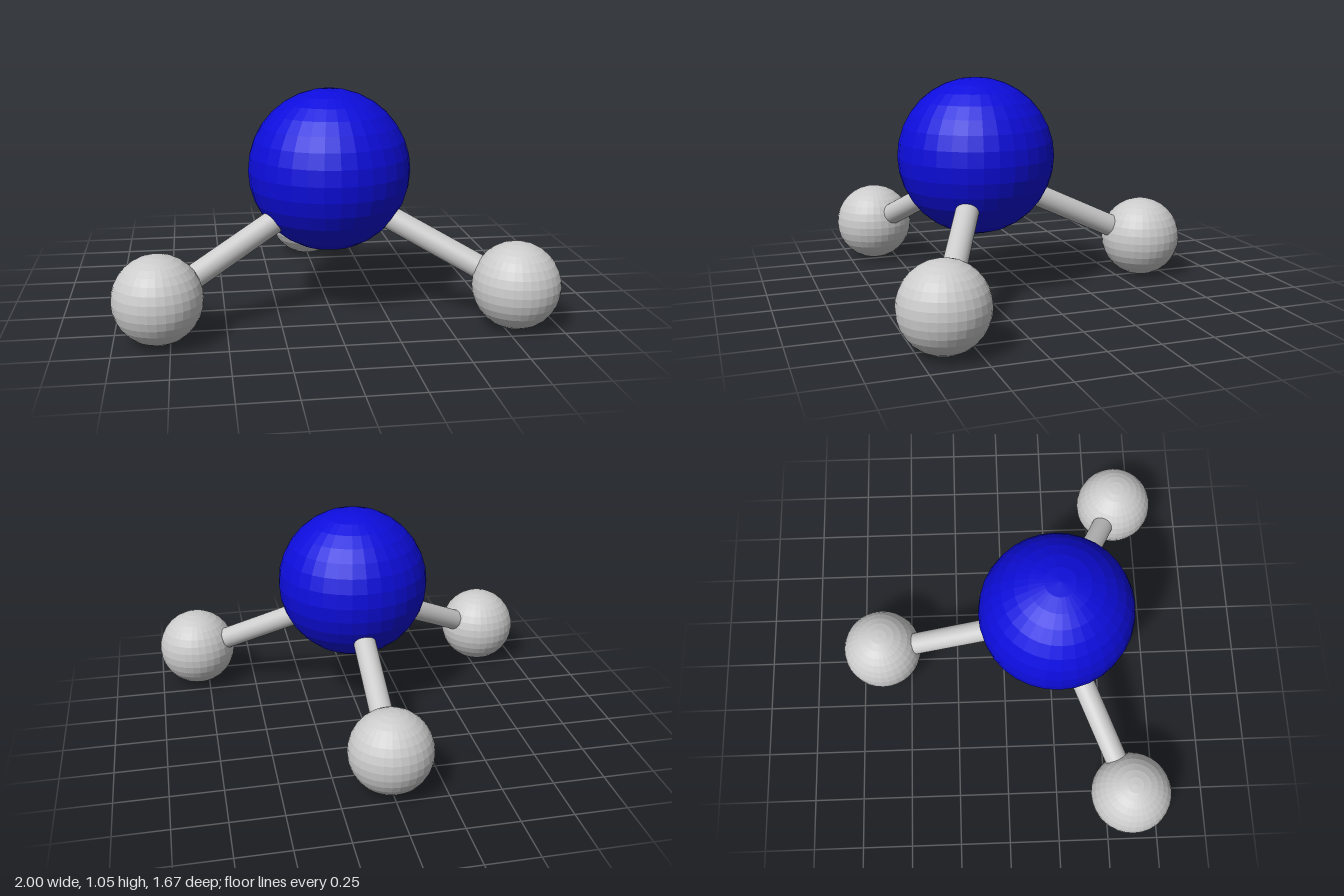
import * as THREE from 'three';

export function createModel() {
  const model = new THREE.Group();
  const blue = new THREE.MeshStandardMaterial({ color: 0x0d0ddd, flatShading: true });
  const grey = new THREE.MeshStandardMaterial({ color: 0xcccccc, flatShading: true });
  const bondGrey = new THREE.MeshStandardMaterial({ color: 0xcccccc });

  function atom(name, radius, position, material) {
    const mesh = new THREE.Mesh(new THREE.SphereGeometry(radius, 32, 16), material);
    mesh.name = name;
    mesh.position.copy(position);
    model.add(mesh);
  }

  // Rod running from one point to another
  function bond(name, from, to) {
    const dir = to.clone().sub(from);
    const mesh = new THREE.Mesh(new THREE.CylinderGeometry(0.055, 0.055, dir.length(), 32), bondGrey);
    mesh.name = name;
    mesh.position.copy(from).add(to).multiplyScalar(0.5);
    mesh.quaternion.setFromUnitVectors(new THREE.Vector3(0, 1, 0), dir.normalize());
    model.add(mesh);
  }

  // Large central atom
  atom('centralAtom', 0.378, new THREE.Vector3(0, 0.675, 0.255), blue);

  // Three outer atoms, with bonds meeting just below the central atom's middle
  const hub = new THREE.Vector3(0, 0.605, 0.25);
  const outer = {
    left: new THREE.Vector3(0.8, 0.2, 0.635),
    right: new THREE.Vector3(-0.8, 0.2, 0.61),
    back: new THREE.Vector3(0, 0.2, -0.635),
  };
  for (const [side, position] of Object.entries(outer)) {
    atom(side + 'Atom', 0.2, position, grey);
    bond(side + 'Bond', hub, position.clone().setY(0.187));
  }
  return model;
}
